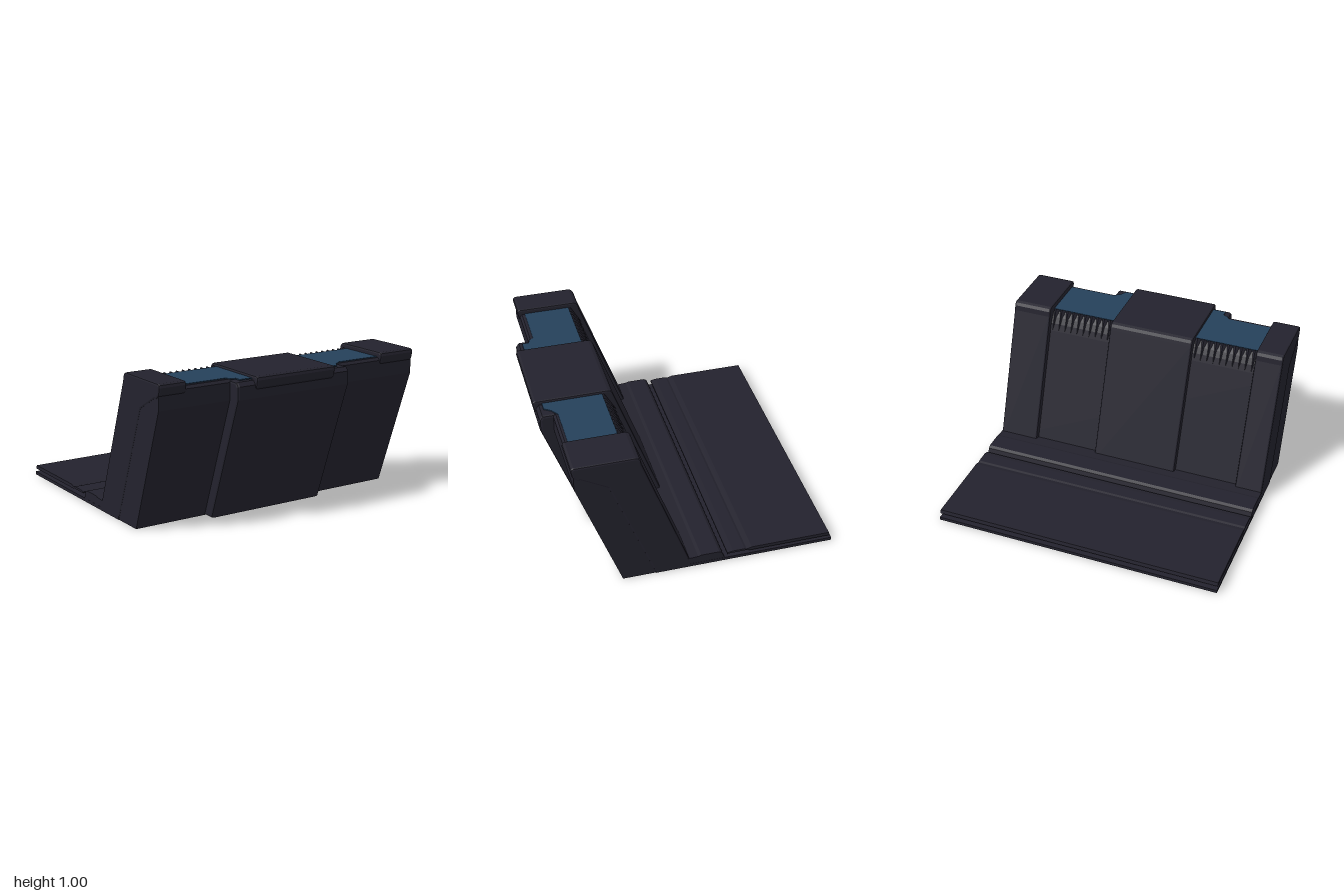
import * as THREE from 'three';

export function createModel() {
  const model = new THREE.Group();
  const dark = new THREE.MeshStandardMaterial({ color: 0x23222d });
  dark.name = 'dark slate';
  const blue = new THREE.MeshStandardMaterial({ color: 0x25405a });
  blue.name = 'steel blue';

  const add = (name, geometry, material = dark) => {
    const mesh = new THREE.Mesh(geometry, material);
    mesh.name = name;
    model.add(mesh);
    return mesh;
  };
  const outline = (points) => new THREE.Shape(points.map(([a, b]) => new THREE.Vector2(a, b)));

  // Side profile of (z, y) points, extruded from x0 to x1 with chamfered ends
  const slab = (name, points, x0, x1, bevel = 0) => {
    const geometry = new THREE.ExtrudeGeometry(outline(points), {
      depth: x1 - x0 - 2 * bevel, bevelEnabled: bevel > 0,
      bevelThickness: bevel, bevelSize: bevel, bevelOffset: -bevel, bevelSegments: 2,
    });
    geometry.rotateY(-Math.PI / 2);
    geometry.translate(x1 - bevel, 0, 0);
    return add(name, geometry);
  };

  // Leaning body
  slab('body', [
    [0.52, 0], [0.815, 0.83], [0.815, 0.945], [0.8, 0.963], [0.5, 0.963],
    [0.46, 0.95], [0.43, 0.92], [0.405, 0.88], [0.385, 0.83], [0.085, 0],
  ], -0.996, 0.996);

  // Raised centre panel on the front
  slab('frontPanel', [
    [0.602, 0], [0.905, 0.845], [0.905, 0.93], [0.885, 0.957], [0.78, 0.957],
    [0.78, 0.83], [0.48, 0],
  ], -0.48, 0.39, 0.015);

  // Straps wrapping over the top and down the back
  const strap = (name, x0, x1, front, top) => slab(name, [
    [0.06, 0], [0.06, 0.04], [0.385, 0.94], [0.392, top - 0.025], [0.405, top - 0.007], [0.425, top],
    [front - 0.02, top], [front - 0.004, top - 0.008], [front, top - 0.025],
    [front - 0.01, top - 0.07], [front - 0.035, top - 0.1],
    [front - 0.06, top - 0.1], [0.6, 0.8], [0.3, 0],
  ], x0, x1, 0.012);
  strap('rightStrap', -1, -0.805, 0.832, 1);
  strap('centreStrap', -0.35, 0.26, 0.926, 0.985);
  strap('leftStrap', 0.72, 1, 0.832, 1);

  // Blue top panels between the straps, given as (x, z) outlines
  const topPanel = (name, points) => {
    const geometry = new THREE.ExtrudeGeometry(outline(points), { depth: 0.007, bevelEnabled: false });
    geometry.rotateX(Math.PI / 2);
    geometry.translate(0, 0.968, 0);
    add(name, geometry, blue);
  };
  topPanel('rightTopPanel', [
    [-0.815, 0.465], [-0.815, 0.78], [-0.49, 0.78], [-0.475, 0.81], [-0.44, 0.82],
    [-0.44, 0.865], [-0.34, 0.865], [-0.34, 0.465],
  ]);
  topPanel('leftTopPanel', [
    [0.25, 0.465], [0.25, 0.865], [0.32, 0.865], [0.35, 0.82], [0.4, 0.785], [0.73, 0.785], [0.73, 0.465],
  ]);

  // Row of pointed ribs on the rounded back corner below each top panel
  const rib = new THREE.ConeGeometry(0.02, 0.15, 4).toNonIndexed();
  rib.computeVertexNormals();
  rib.rotateX(Math.PI + 0.64);
  for (const [x0, x1] of [[-0.785, -0.37], [0.28, 0.7]]) {
    for (let i = 0; i < 10; i++) {
      add('rib', rib).position.set(x0 + (x1 - x0) * i / 9, 0.904, 0.423);
    }
  }

  // Raised hinge ridge behind the body
  slab('hingeRidge', [
    [0.12, 0], [0.1, 0.07], [0.01, 0.075], [-0.01, 0.082], [-0.135, 0.082],
    [-0.155, 0.07], [-0.172, 0.025], [-0.172, 0],
  ], -0.999, 0.999);

  // Base plate and the thin layered flap held above it
  slab('basePlate', [[0.3, 0], [0.3, 0.022], [-0.925, 0.022], [-0.925, 0]], -1, 1);
  slab('upperFlap', [
    [-0.19, 0.05], [-0.19, 0.06], [-0.23, 0.067], [-0.31, 0.067], [-0.325, 0.062], [-0.36, 0.072],
    [-0.905, 0.072], [-0.912, 0.047], [-0.335, 0.047], [-0.32, 0.053],
  ], -1, 1);

  return model;
}
